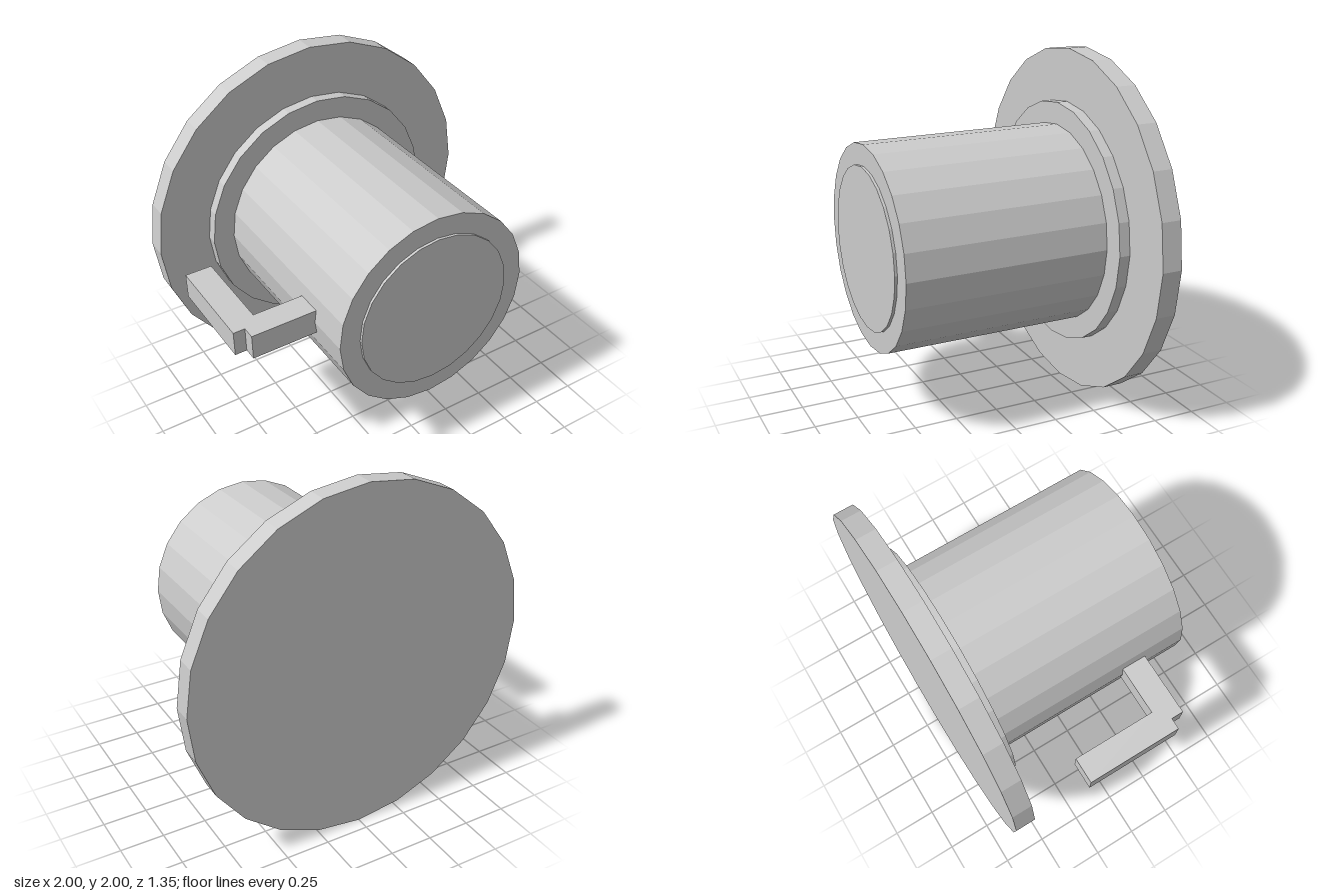
import * as THREE from 'three';

const SIDES = 24;
const AXIS_Y = 1;

export function createModel() {
  const group = new THREE.Group();
  const material = new THREE.MeshStandardMaterial({ color: 0xcccccc, flatShading: true });

  const add = (name, geometry) => {
    const mesh = new THREE.Mesh(geometry, material);
    mesh.name = name;
    group.add(mesh);
    return mesh;
  };

  // Round sections stacked along z: name, radius, back z, front z
  const sections = [
    ['backPlate', 1, -0.675, -0.56],
    ['collar', 0.7, -0.56, -0.497],
    ['barrel', 0.575, -0.497, 0.66],
    ['frontCap', 0.457, 0.66, 0.675],
  ];
  for (const [name, radius, back, front] of sections) {
    const geometry = new THREE.CylinderGeometry(radius, radius, front - back, SIDES);
    geometry.rotateX(Math.PI / 2);
    add(name, geometry).position.set(0, AXIS_Y, (back + front) / 2);
  }

  // L-shaped side handle, outlined in x and z, with a small notch at its outer corner
  const outline = [
    [-0.55, 0.27], [-0.55, 0.415], [-0.935, 0.415], [-0.935, 0.343],
    [-1, 0.343], [-1, -0.215], [-0.85, -0.215], [-0.85, 0.27],
  ].map(([x, z]) => new THREE.Vector2(x, z));
  const handle = new THREE.ExtrudeGeometry(new THREE.Shape(outline), { depth: 0.144, bevelEnabled: false });
  handle.rotateX(Math.PI / 2);
  add('handle', handle).position.y = AXIS_Y + 0.075;

  return group;
}
